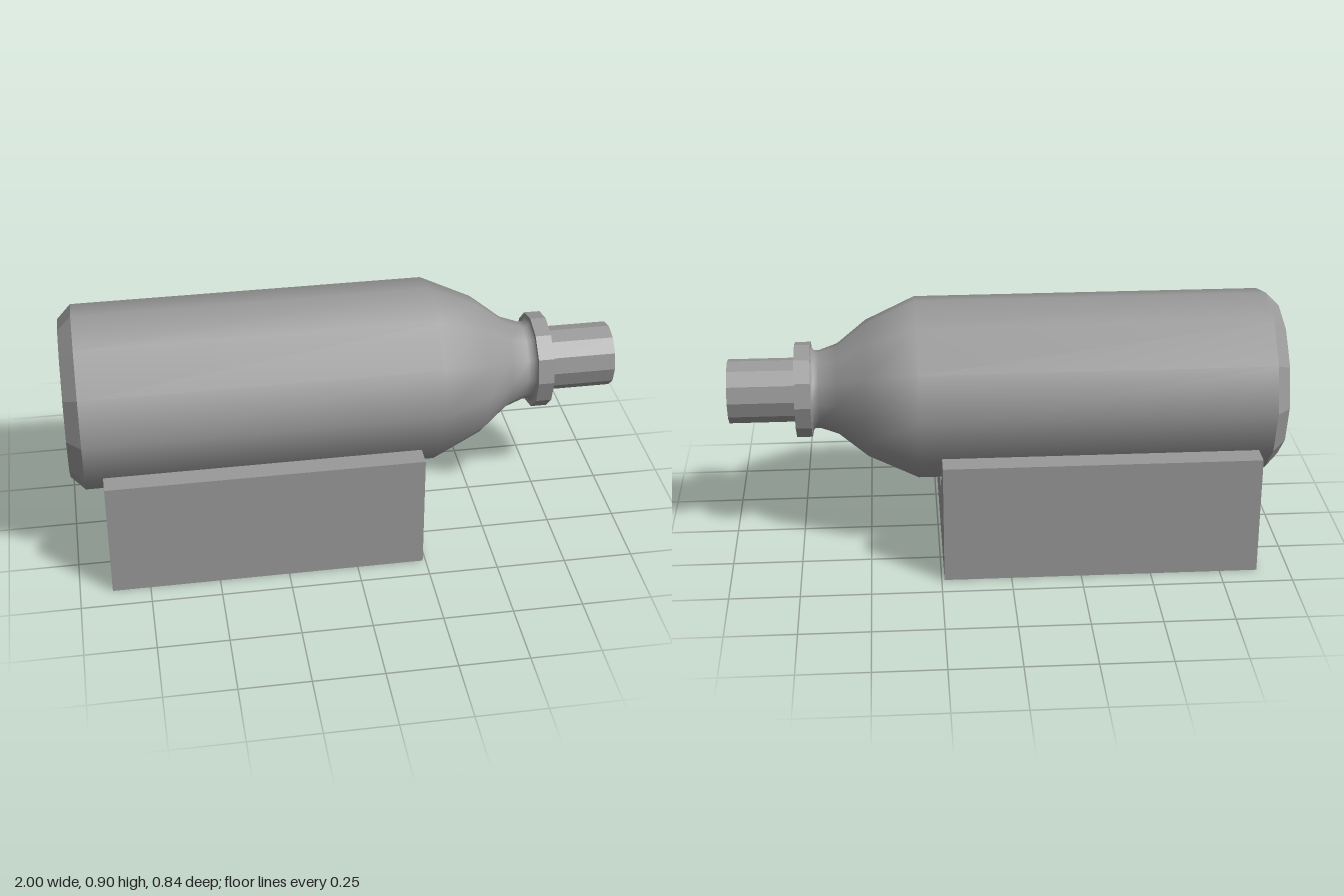
import * as THREE from 'three';
import { toCreasedNormals } from 'three/addons/utils/BufferGeometryUtils.js';

const SIDES = 12;

// Turned part along +x from [x, radius] pairs
function turned(name, profile, material, faceted) {
  const points = profile.map(([x, r]) => new THREE.Vector2(r, x));
  let geometry = new THREE.LatheGeometry(points, SIDES);
  if (faceted) geometry = toCreasedNormals(geometry, 0.2);
  geometry.rotateZ(-Math.PI / 2);
  const mesh = new THREE.Mesh(geometry, material);
  mesh.name = name;
  return mesh;
}

export function createModel() {
  const model = new THREE.Group();
  model.name = 'cylinderOnCradle';
  const gray = new THREE.MeshStandardMaterial({ color: 0x999999 });
  gray.name = 'gray';

  // Bottle lying on its side
  const bottle = new THREE.Group();
  bottle.name = 'bottle';
  bottle.position.set(0, 0.569, 0.012);
  bottle.add(
    turned('base', [[-1, 0], [-1, 0.283], [-0.95, 0.333]], gray, true),
    turned('body', [[-0.95, 0.333], [0.32, 0.333], [0.5, 0.25], [0.605, 0.166],
      [0.67, 0.143], [0.69, 0.143], [0.7, 0.156]], gray, false),
    turned('collar', [[0.7, 0], [0.7, 0.174], [0.757, 0.174], [0.757, 0]], gray, true),
    turned('cap', [[0.757, 0], [0.757, 0.117], [1, 0.117], [1, 0]], gray, true),
  );
  model.add(bottle);

  // Cradle block with a sloped groove, profile in z and y
  const outline = [[-0.418, 0], [0.42, 0], [0.42, 0.44], [0.345, 0.44],
    [0.143, 0.22], [-0.125, 0.22], [-0.335, 0.44], [-0.418, 0.44]];
  const shape = new THREE.Shape(outline.map(([z, y]) => new THREE.Vector2(z, y)));
  const block = new THREE.ExtrudeGeometry(shape, { depth: 1.125, bevelEnabled: false });
  block.rotateY(-Math.PI / 2).translate(0.24, 0, 0);
  // Groove floor narrows slightly toward the bottle's base
  const pos = block.attributes.position;
  for (let i = 0; i < pos.count; i++) {
    if (pos.getX(i) < 0 && Math.abs(pos.getZ(i) + 0.125) < 0.001) pos.setZ(i, -0.11);
  }
  block.computeVertexNormals();
  const cradle = new THREE.Mesh(block, gray);
  cradle.name = 'cradle';
  model.add(cradle);

  return model;
}
